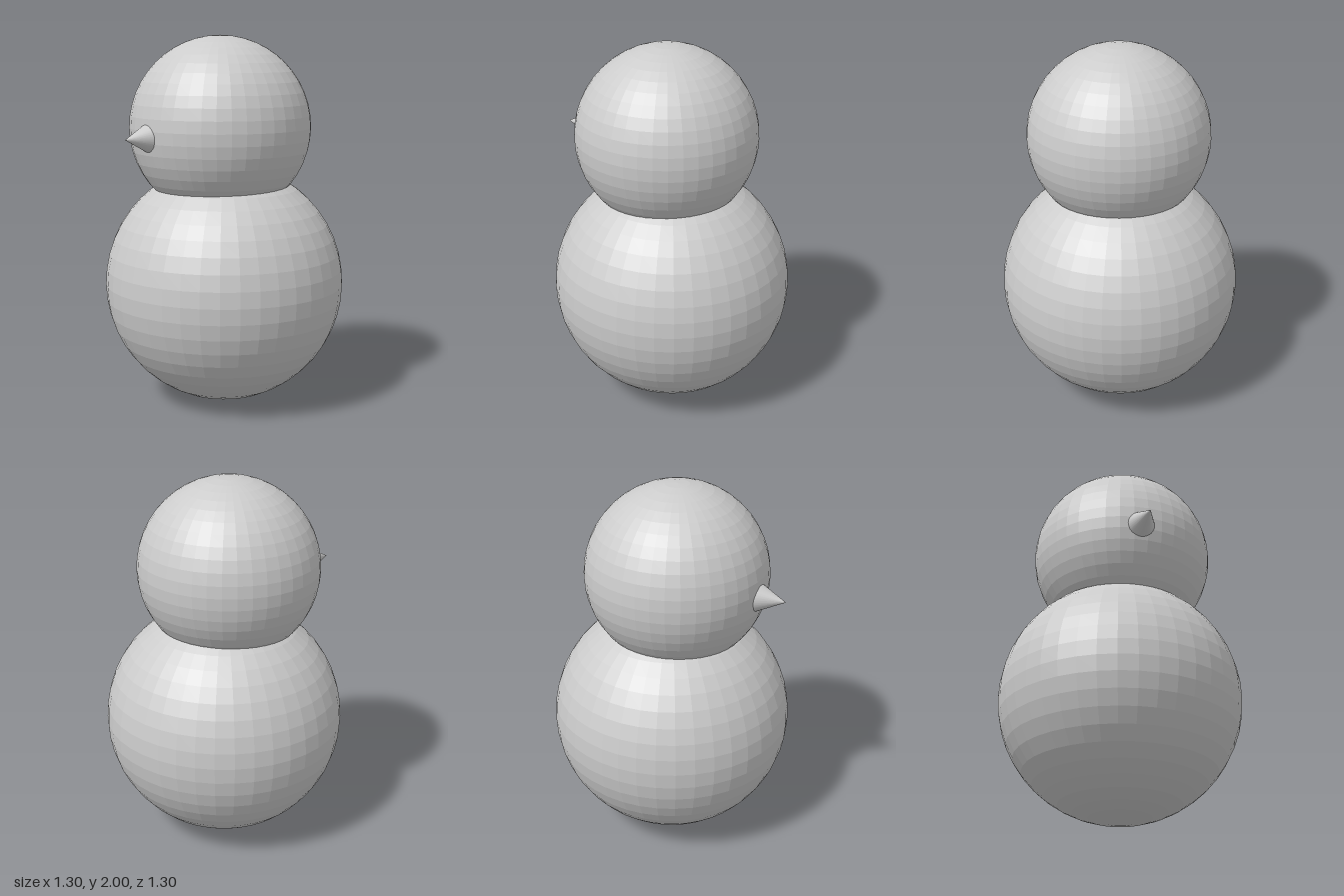
import * as THREE from 'three';

export function createModel() {
  const group = new THREE.Group();
  const flat = new THREE.MeshStandardMaterial({ color: 0xcccccc, flatShading: true });
  const smooth = new THREE.MeshStandardMaterial({ color: 0xcccccc });

  const add = (name, geometry, material, x, y, z) => {
    const mesh = new THREE.Mesh(geometry, material);
    mesh.name = name;
    mesh.position.set(x, y, z);
    group.add(mesh);
    return mesh;
  };

  // Two stacked faceted balls
  add('body', new THREE.SphereGeometry(0.652, 40, 24), flat, 0, 0.655, 0);
  add('head', new THREE.SphereGeometry(0.49, 40, 24), flat, 0, 1.51, 0.03);

  // Pointed nose, base sunk into the head and tip facing forward
  const nose = add('nose', new THREE.ConeGeometry(0.1, 0.2, 32), smooth, -0.035, 1.475, 0.552);
  nose.rotation.x = Math.PI / 2;

  return group;
}
